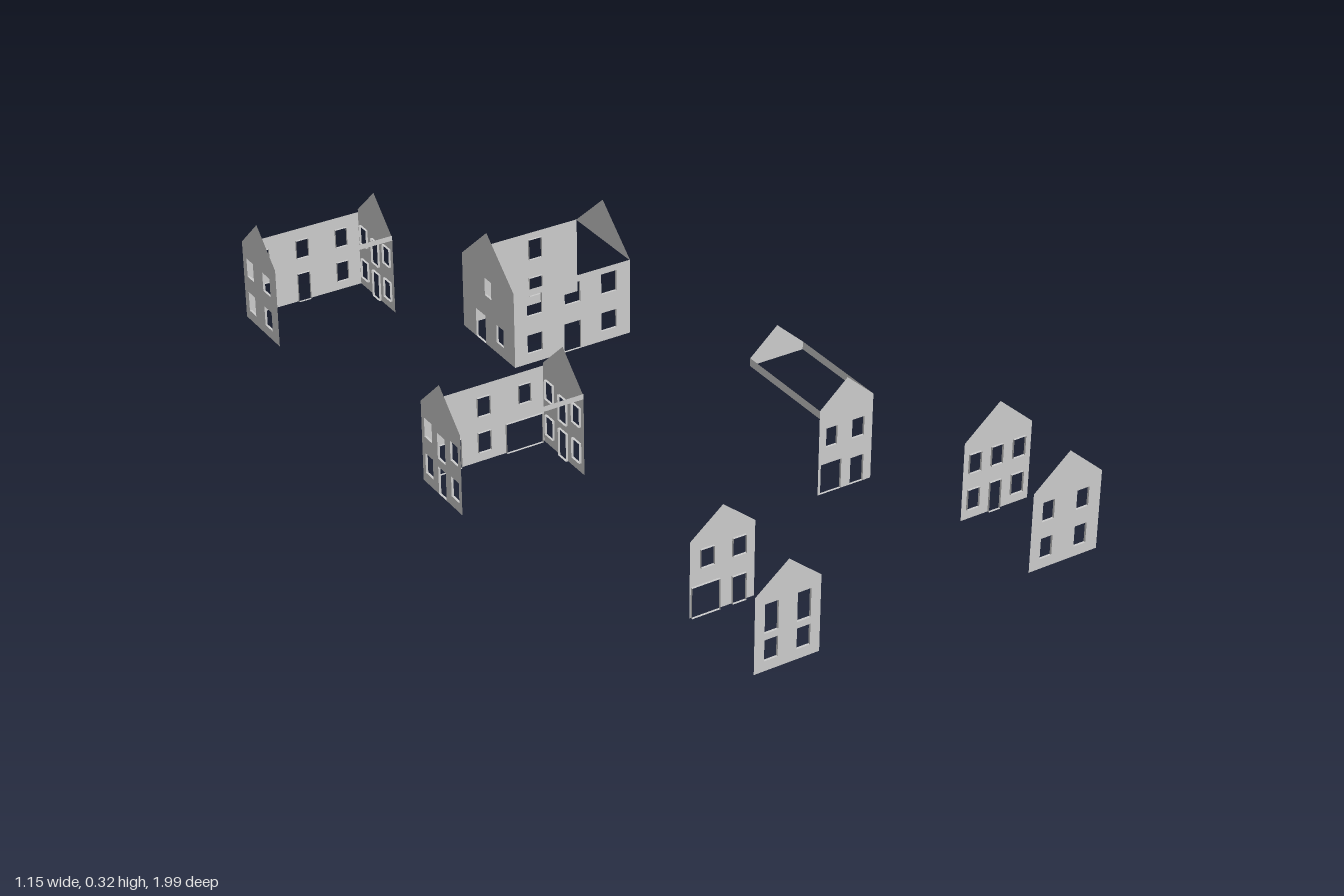
import * as THREE from 'three';
import { mergeGeometries } from 'three/addons/utils/BufferGeometryUtils.js';

const material = new THREE.MeshStandardMaterial({ color: 0xcccccc, side: THREE.DoubleSide, flatShading: true });
const REVEAL = 0.006;

// Thin wall from u0 to u1 with an optional gable and rectangular openings [u0, u1, y0, y1].
// axis 'z': wall lies at z = pos and u runs along x; axis 'x': wall lies at x = pos and u runs along z.
// inward is the world direction (+1 / -1) in which the opening reveals go.
function wall(name, axis, pos, u0, u1, eave, apex, openings = [], inward = 1, base = 0) {
  const outline = [[u0, base], [u0, eave]];
  if (apex) outline.push([(u0 + u1) / 2, apex]);
  outline.push([u1, eave], [u1, base]);
  // Doors cut into the outline along the ground, right to left
  openings.filter(o => o[2] === 0).sort((a, b) => b[0] - a[0])
    .forEach(([a, b, , t]) => outline.push([b, 0], [b, t], [a, t], [a, 0]));
  const shape = new THREE.Shape(outline.map(p => new THREE.Vector2(...p)));
  openings.filter(o => o[2] > 0).forEach(([a, b, s, t]) => {
    shape.holes.push(new THREE.Path([[a, s], [b, s], [b, t], [a, t]].map(p => new THREE.Vector2(...p))));
  });
  const parts = [new THREE.ShapeGeometry(shape)];
  // Reveals: jambs, lintel and sill
  const d = (axis === 'z' ? inward : -inward) * REVEAL / 2;
  for (const [a, b, s, t] of openings) {
    for (const u of [a, b]) parts.push(new THREE.PlaneGeometry(REVEAL, t - s).rotateY(Math.PI / 2).translate(u, (s + t) / 2, d));
    for (const y of [s, t]) parts.push(new THREE.PlaneGeometry(b - a, REVEAL).rotateX(-Math.PI / 2).translate((a + b) / 2, y, d));
  }
  const geometry = mergeGeometries(parts);
  if (axis === 'x') geometry.rotateY(-Math.PI / 2).translate(pos, 0, 0);
  else geometry.translate(0, 0, pos);
  const mesh = new THREE.Mesh(geometry, material);
  mesh.name = name;
  return mesh;
}

// Same vertical span for several column spans
const row = (columns, y0, y1) => columns.map(([a, b]) => [a, b, y0, y1]);

function building(name, ...walls) {
  const group = new THREE.Group();
  group.name = name;
  group.add(...walls);
  return group;
}

// Two facing gable ends at the front left
function leftGablePair() {
  const cols = [[-0.334, -0.299], [-0.25, -0.215]];
  return building('leftGablePair',
    wall('frontGable', 'z', 0.995, -0.36, -0.19, 0.198, 0.268,
      [...row(cols, 0.097, 0.172), ...row(cols, 0.026, 0.08)], -1),
    wall('rearGable', 'z', 0.742, -0.36, -0.19, 0.198, 0.268,
      [...row(cols, 0.124, 0.172), [-0.357, -0.283, 0, 0.08], [-0.25, -0.214, 0, 0.072]], 1));
}

// Two facing gable ends at the front right
function rightGablePair() {
  const front = [[0.409, 0.442], [0.505, 0.539]];
  const back = [[0.394, 0.427], [0.457, 0.489], [0.519, 0.553]];
  return building('rightGablePair',
    wall('frontGable', 'z', 0.995, 0.38, 0.572, 0.207, 0.29,
      [...row(front, 0.124, 0.175), ...row(front, 0.026, 0.08)], -1),
    wall('rearGable', 'z', 0.742, 0.38, 0.572, 0.207, 0.29,
      [...row(back, 0.124, 0.175), ...row([back[0], back[2]], 0.026, 0.08), [0.457, 0.489, 0, 0.08]], 1));
}

// Gable front with eave boards and a rear gable triangle
function gateHouse() {
  return building('gateHouse',
    wall('frontGable', 'z', 0.477, 0.165, 0.315, 0.228, 0.295,
      [...row([[0.185, 0.216], [0.258, 0.292]], 0.124, 0.175), [0.172, 0.23, 0, 0.08], [0.256, 0.293, 0, 0.072]], -1),
    wall('rearGableTriangle', 'z', 0.19, 0.165, 0.315, 0.228, 0.295, [], 1, 0.207),
    ...[0.165, 0.315].map(x => wall('eaveBoard', 'x', x, 0.19, 0.477, 0.228, 0, [], 1, 0.207)));
}

// Wide house: two long walls, one full gable, one gable triangle
function wideHouse() {
  const cols = [[-0.093, -0.05], [0.015, 0.06], [0.121, 0.165]];
  return building('wideHouse',
    wall('frontWall', 'z', -0.408, -0.13, 0.205, 0.208, 0,
      [...row(cols, 0.133, 0.19), ...row([cols[0], cols[2]], 0.028, 0.08), [0.013, 0.061, 0, 0.08]], -1),
    wall('backWall', 'z', -0.664, -0.13, 0.205, 0.208, 0,
      [...row([[-0.093, -0.052], [0.061, 0.098]], 0.133, 0.19), [0.061, 0.098, 0.028, 0.08], [-0.045, 0, 0, 0.08]], 1),
    wall('gableWall', 'x', -0.13, -0.664, -0.408, 0.208, 0.32,
      [[-0.552, -0.52, 0.139, 0.188], [-0.498, -0.463, 0.03, 0.08], [-0.6, -0.552, 0, 0.08]], 1),
    wall('gableTriangle', 'x', 0.205, -0.664, -0.408, 0.208, 0.32, [], -1, 0.206));
}

// Open-fronted house: back wall, two gabled sides and an eave board over the open front
function openHouse(name, z0, z1, backOpenings, leftColumns, hasSideDoors) {
  const x0 = -0.574, x1 = -0.246, mid = (z0 + z1) / 2;
  const three = [-0.061, 0, 0.061].map(o => [mid + o - 0.018, mid + o + 0.018]);
  const sides = [...row([three[0], three[2]], 0.124, 0.176), [...three[1], 0.097, 0.166],
    ...row([three[0], three[2]], 0.026, 0.08), [...three[1], 0, 0.075]];
  const two = leftColumns.map(([a, b]) => [z0 + a, z0 + b]);
  return building(name,
    wall('backWall', 'z', z0, x0, x1, 0.207, 0, backOpenings, 1),
    wall('leftGable', 'x', x1, z0, z1, 0.215, 0.302, sides, -1),
    wall('rightGable', 'x', x0, z0, z1, 0.215, 0.302,
      hasSideDoors ? sides : [...row(two, 0.124, 0.176), ...row(two, 0.026, 0.08)], 1),
    wall('eaveBoard', 'z', z1, x0, x1, 0.221, 0, [], -1, 0.207));
}

export function createModel() {
  const model = new THREE.Group();
  model.name = 'townHouseWalls';
  const cols = [[-0.537, -0.504], [-0.427, -0.393], [-0.315, -0.283]];
  const upper = row(cols, 0.124, 0.175);
  model.add(
    leftGablePair(),
    rightGablePair(),
    gateHouse(),
    wideHouse(),
    openHouse('stableHouse', 0 - 0.072, 0.112,
      [...upper, [-0.569, -0.473, 0, 0.08], [...cols[1], 0.026, 0.08], [-0.351, -0.251, 0, 0.08]], [], true),
    openHouse('rearHouse', -0.998, -0.814,
      [...upper, ...row([cols[0], cols[2]], 0.026, 0.08), [...cols[1], 0, 0.08]], [[0.02, 0.056], [0.108, 0.148]], false));
  return model;
}
